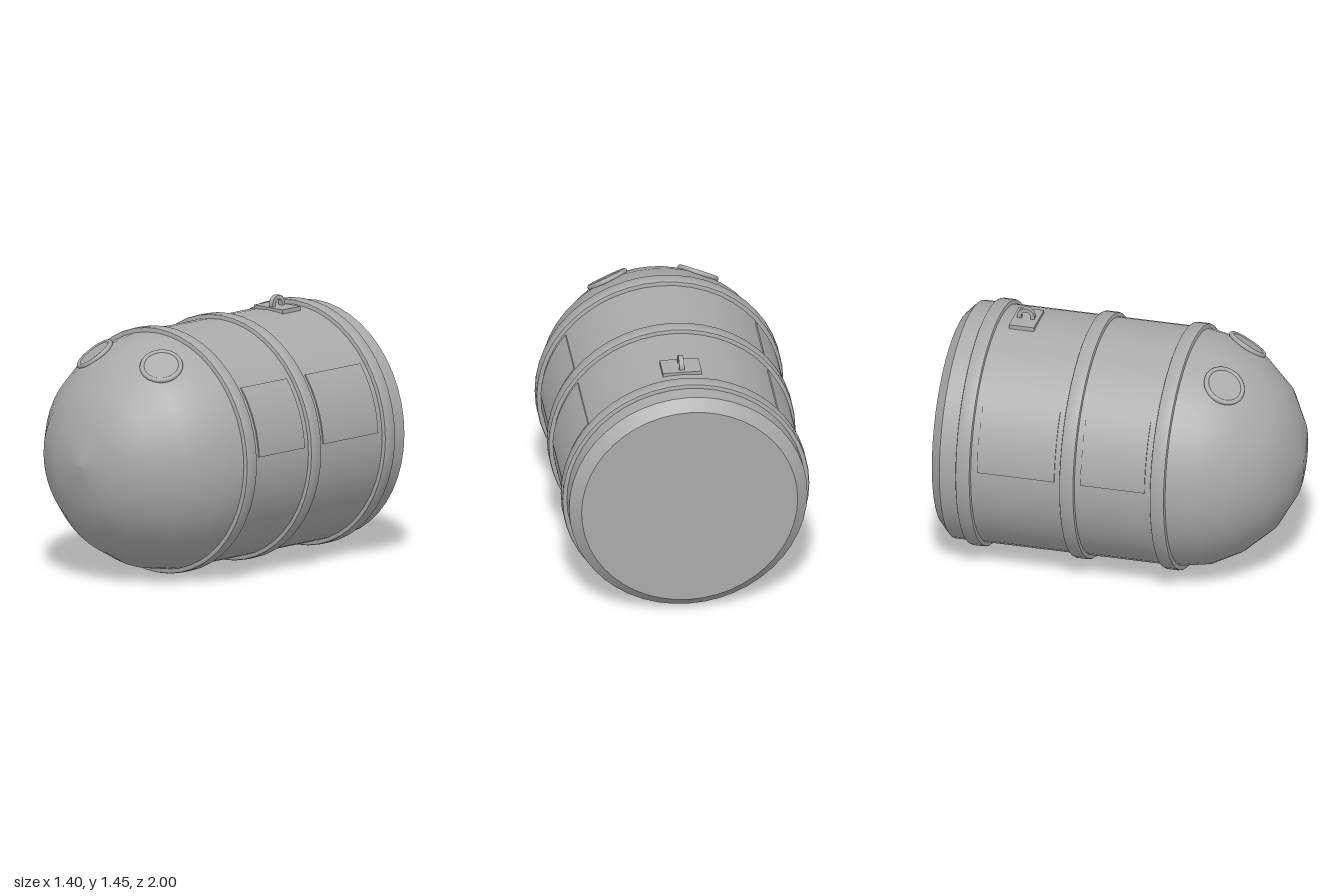
import * as THREE from 'three';
import { toCreasedNormals } from 'three/addons/utils/BufferGeometryUtils.js';

const AXIS_Y = 0.704;
const SEGMENTS = 48;

export function createModel() {
  const model = new THREE.Group();
  model.name = 'capsule';
  const grey = new THREE.MeshStandardMaterial({ color: 0xaaaaaa });
  grey.name = 'plain grey';

  // everything round the long axis lives in this group
  const hull = new THREE.Group();
  hull.name = 'hull';
  hull.position.y = AXIS_Y;
  model.add(hull);

  const add = (parent, name, geometry) => {
    const mesh = new THREE.Mesh(geometry, grey);
    mesh.name = name;
    parent.add(mesh);
    return mesh;
  };

  // profile points are [radius, z], from back to front
  const lathe = (points) => {
    const g = new THREE.LatheGeometry(points.map(([r, z]) => new THREE.Vector2(r, z)), SEGMENTS);
    return g.rotateX(Math.PI / 2);
  };

  // barrel, bevelled tail and rounded nose
  add(hull, 'barrel', lathe([[0.675, -0.94], [0.675, 0.36]]));
  add(hull, 'tailBevel', lathe([[0.612, -1], [0.675, -0.94]]));
  add(hull, 'tailPlate', lathe([[0, -1], [0.612, -1]]));
  add(hull, 'nose', lathe([
    [0.675, 0.36], [0.645, 0.528], [0.558, 0.697], [0.412, 0.86], [0.227, 0.964], [0, 1],
  ]));

  // raised bands with softened edges
  for (const z of [0.329, -0.197, -0.8]) {
    const band = lathe([
      [0.66, -0.042], [0.69, -0.042], [0.697, -0.039], [0.7, -0.032],
      [0.7, 0.032], [0.697, 0.039], [0.69, 0.042], [0.66, 0.042],
    ]);
    add(hull, 'band', toCreasedNormals(band, 0.6)).position.z = z;
  }

  // curved side panels, mirrored left and right
  const low = Math.asin(0.036 / 0.682);
  const high = Math.asin(0.416 / 0.682);
  for (const [back, front] of [[-0.12, 0.252], [-0.72, -0.272]]) {
    for (const side of [1, -1]) {
      const from = side > 0 ? low : Math.PI - high;
      const to = side > 0 ? high : Math.PI - low;
      const shape = new THREE.Shape();
      shape.absarc(0, 0, 0.682, from, to, false);
      shape.absarc(0, 0, 0.665, to, from, true);
      const g = new THREE.ExtrudeGeometry(shape, {
        depth: front - back, bevelEnabled: false, curveSegments: 12,
      });
      const panel = add(hull, side > 0 ? 'leftPanel' : 'rightPanel', toCreasedNormals(g, 0.5));
      panel.position.z = back;
    }
  }

  // round windows lying on the upper nose
  for (const side of [1, -1]) {
    const port = new THREE.Group();
    port.name = side > 0 ? 'leftPorthole' : 'rightPorthole';
    port.position.set(side * 0.257, 0.551, 0.605);
    port.quaternion.setFromUnitVectors(
      new THREE.Vector3(0, 0, 1),
      new THREE.Vector3(side * 0.37, 0.8, 0.47).normalize(),
    );
    add(port, 'portholeRim', new THREE.TorusGeometry(0.108, 0.014, 10, 40));
    const pane = new THREE.CylinderGeometry(0.1, 0.1, 0.009, 40).rotateX(Math.PI / 2);
    add(port, 'portholePane', pane).position.z = 0.003;
    hull.add(port);
  }

  // lifting eye on its base plate
  const lug = new THREE.Group();
  lug.name = 'liftingEye';
  lug.position.set(0, 1.38, -0.613);
  add(lug, 'eyePlate', new THREE.BoxGeometry(0.22, 0.026, 0.146));
  const ring = new THREE.Shape().absarc(0, 0, 0.051, 0, Math.PI * 2, false);
  ring.holes.push(new THREE.Path().absarc(0, 0, 0.028, 0, Math.PI * 2, true));
  const eye = new THREE.ExtrudeGeometry(ring, { depth: 0.028, bevelEnabled: false, curveSegments: 10 });
  eye.translate(0, 0, -0.014).rotateY(Math.PI / 2);
  add(lug, 'eyeRing', toCreasedNormals(eye, 0.8)).position.y = 0.024;
  model.add(lug);

  return model;
}
